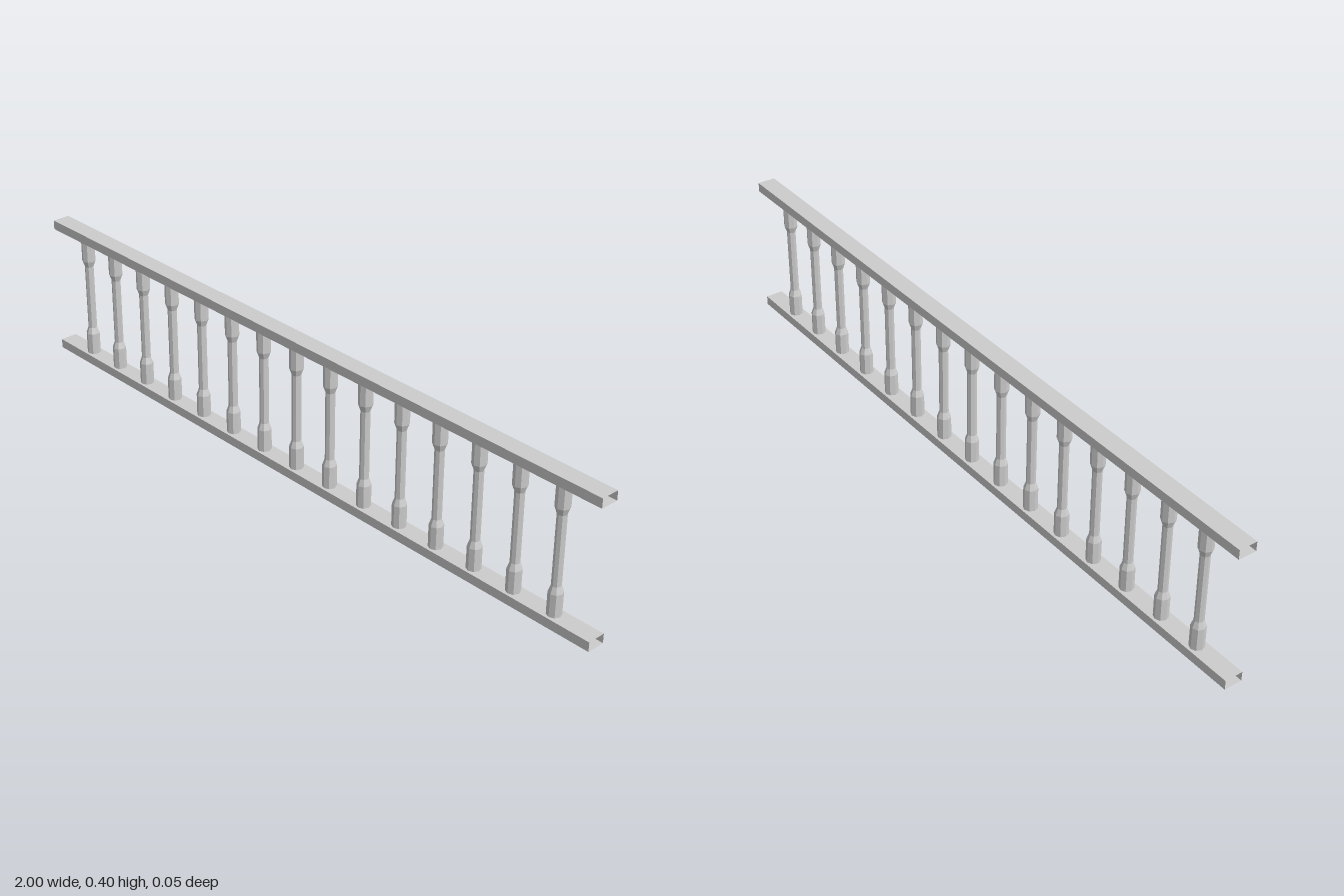
import * as THREE from 'three';

export function createModel() {
  const group = new THREE.Group();
  const mat = new THREE.MeshStandardMaterial({ color: 0xcccccc, flatShading: true, side: THREE.DoubleSide });

  const length = 2, railHeight = 0.026, railDepth = 0.05, height = 0.402;

  // Rails: hollow rectangular sleeves, open at both ends
  const railGeo = new THREE.BoxGeometry(length, railHeight, railDepth);
  railGeo.setIndex(Array.from(railGeo.index.array).slice(12)); // drop the two end caps
  railGeo.clearGroups();
  const addRail = (name, y) => {
    const rail = new THREE.Mesh(railGeo, mat);
    rail.name = name;
    rail.position.y = y;
    group.add(rail);
  };
  addRail('bottomRail', railHeight / 2);
  addRail('topRail', height - railHeight / 2);

  // Balusters: eight-sided turned posts, thick at both ends
  const profile = [
    [0.0188, railHeight], [0.0188, 0.088], [0.0125, 0.106],
    [0.0125, 0.296], [0.0188, 0.314], [0.0188, height - railHeight],
  ].map(([r, y]) => new THREE.Vector2(r, y));
  const balusterGeo = new THREE.LatheGeometry(profile, 8);

  const count = 15, spacing = 0.125;
  const balusters = new THREE.Group();
  balusters.name = 'balusters';
  for (let i = 0; i < count; i++) {
    const baluster = new THREE.Mesh(balusterGeo, mat);
    baluster.name = `baluster${i + 1}`;
    baluster.position.x = (i - (count - 1) / 2) * spacing;
    balusters.add(baluster);
  }
  group.add(balusters);

  return group;
}
